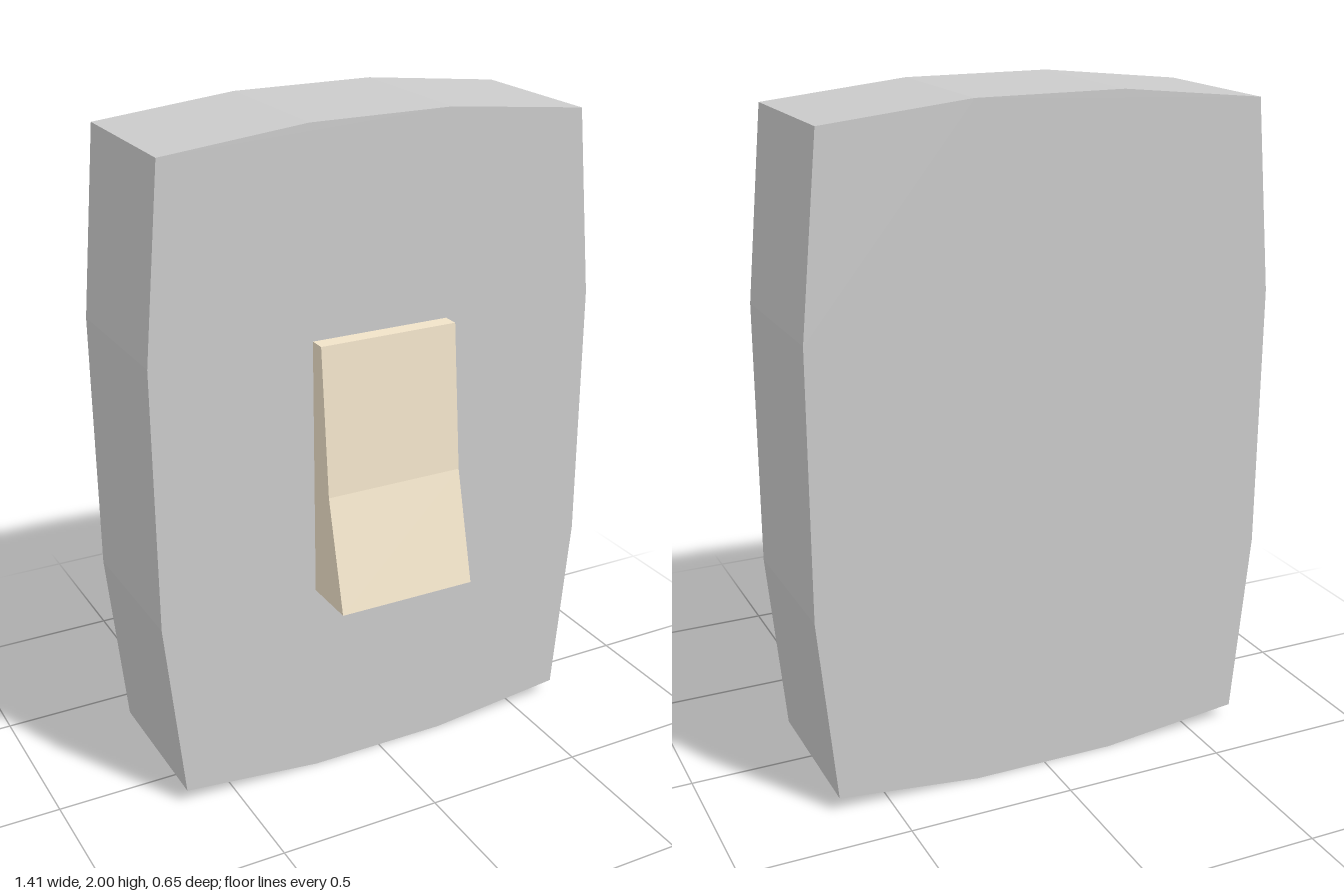
import * as THREE from 'three';

// Flat-shaded prism from a 2D outline
function prism(name, points, depth, color) {
  const shape = new THREE.Shape(points.map(([x, y]) => new THREE.Vector2(x, y)));
  const geometry = new THREE.ExtrudeGeometry(shape, { depth, bevelEnabled: false });
  const mesh = new THREE.Mesh(geometry, new THREE.MeshStandardMaterial({ color, flatShading: true }));
  mesh.name = name;
  return mesh;
}

export function createModel() {
  const group = new THREE.Group();
  group.name = 'wallSwitch';

  // Wall plate: bowed rectangle, one quarter mirrored around its centre
  const quarter = [[0.705, 0.395], [0.652, 0.955], [0.22, 1]];
  const half = [...quarter, ...quarter.map(([x, y]) => [-x, y]).reverse()];
  const outline = [...half, ...half.map(([x, y]) => [-x, -y])];
  const plate = prism('wallPlate', outline, 0.48, 0xcccccc);
  plate.position.set(0, 1, -0.327);
  group.add(plate);

  // Rocker: side profile in (z, y), extruded along x
  const profile = [[0.153, 0.612], [0.327, 0.612], [0.243, 0.95], [0.203, 1.392], [0.153, 1.392]];
  const rocker = prism('rocker', profile, 0.43, 0xf0e2c8);
  rocker.rotation.y = -Math.PI / 2;
  rocker.position.x = 0.213;
  group.add(rocker);

  return group;
}
